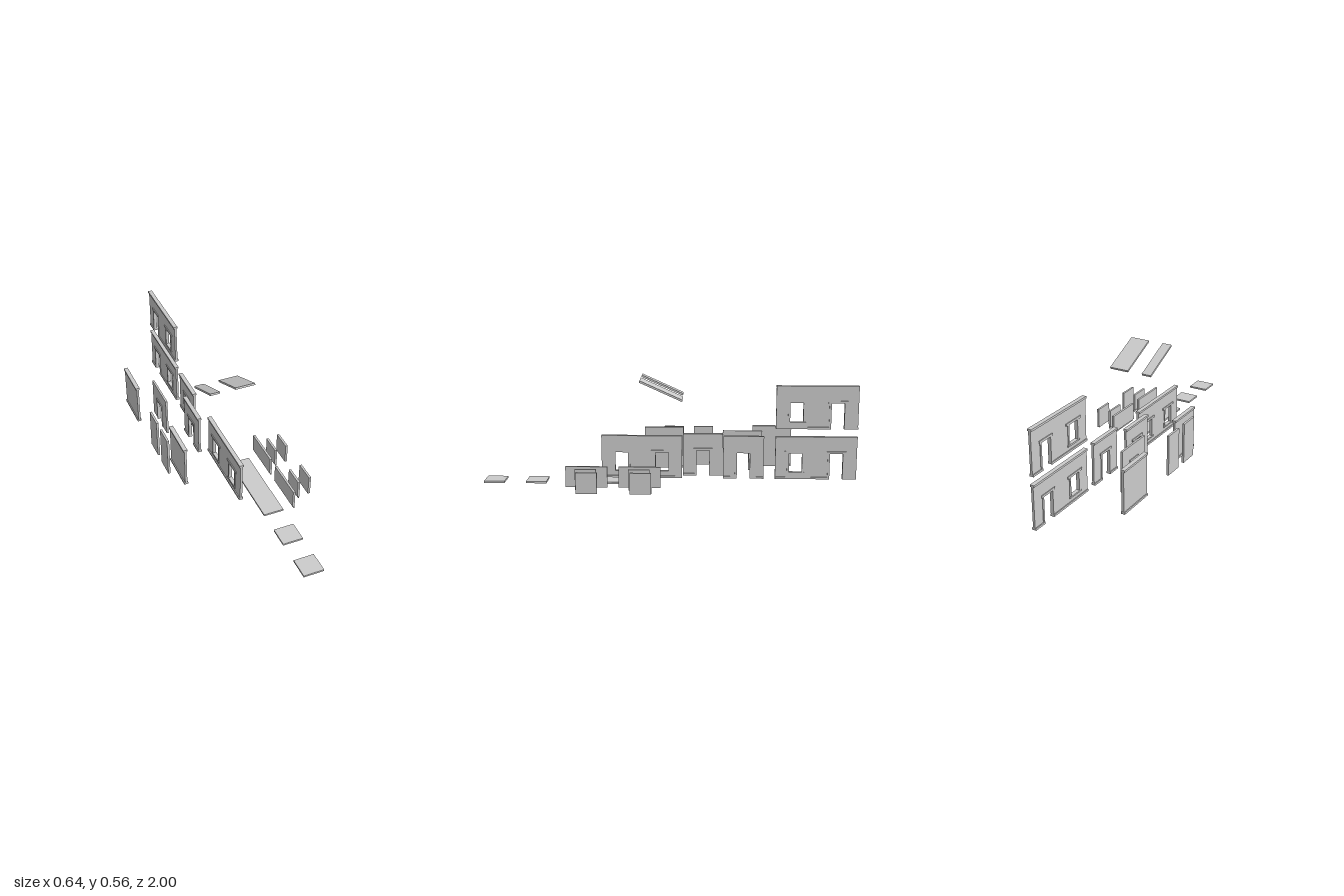
import * as THREE from 'three';

const material = new THREE.MeshStandardMaterial({ color: 0xcccccc, flatShading: true });
const W = 0.22;        // module width along z
const OPEN = 0.035;    // half width of door and window openings
const HEAD = 0.148;    // top of openings

// Box from min/max corners
function box(parent, name, x0, x1, y0, y1, z0, z1) {
  const mesh = new THREE.Mesh(new THREE.BoxGeometry(x1 - x0, y1 - y0, z1 - z0), material);
  mesh.position.set((x0 + x1) / 2, (y0 + y1) / 2, (z0 + z1) / 2);
  mesh.name = name;
  parent.add(mesh);
}

// Outline drawn in (z, y), extruded along x about the centre
function plate(parent, name, shape, thickness) {
  const geo = new THREE.ExtrudeGeometry(shape, { depth: thickness, bevelEnabled: false });
  geo.translate(0, 0, -thickness / 2).rotateY(-Math.PI / 2);
  const mesh = new THREE.Mesh(geo, material);
  mesh.name = name;
  parent.add(mesh);
}

const outline = (pts) => new THREE.Shape(pts.map(([z, y]) => new THREE.Vector2(z, y)));

// Wall module: kind is 'plain', 'door' or 'window'
function wall(root, kind, x, y, z, { half = 0.006, trim = true, jamb = 0.011 } = {}) {
  const g = new THREE.Group();
  g.name = kind + 'Wall';
  g.position.set(x, y, z);
  const h = W / 2, y0 = 0.005, y1 = 0.229;
  const sill = kind === 'window' ? 0.038 : y0;

  // body
  let shape;
  if (kind === 'door') {
    shape = outline([[-h, y0], [-OPEN, y0], [-OPEN, HEAD], [OPEN, HEAD],
      [OPEN, y0], [h, y0], [h, y1], [-h, y1]]);
  } else {
    shape = outline([[-h, y0], [h, y0], [h, y1], [-h, y1]]);
    if (kind === 'window') {
      shape.holes.push(outline([[-OPEN, sill], [-OPEN, HEAD], [OPEN, HEAD], [OPEN, sill]]));
    }
  }
  plate(g, 'wallBody', shape, half * 2);

  // cornice and plinth
  if (trim) {
    box(g, 'cornice', -0.0115, 0.0115, 0.224, 0.235, -h, h);
    if (kind === 'door') {
      for (const [a, b] of [[-h, -OPEN], [OPEN, h]]) box(g, 'plinth', -0.0115, 0.0115, 0, 0.011, a, b);
    } else {
      box(g, 'plinth', -0.0115, 0.0115, 0, 0.011, -h, h);
    }
  }

  // frame around the opening
  if (kind !== 'plain') {
    const o = OPEN + jamb;
    for (const [a, b] of [[-o, -OPEN], [OPEN, o]]) box(g, 'jamb', -0.009, 0.009, sill, HEAD, a, b);
    const l = o + (kind === 'window' ? 0.014 : jamb > 0.01 ? 0.006 : 0);
    box(g, 'lintel', -0.0105, 0.0105, HEAD - 0.006, HEAD + 0.006, -l, l);
    if (kind === 'window') box(g, 'sill', -0.0105, 0.0105, sill - 0.008, sill, -o - 0.003, o + 0.003);
  }
  root.add(g);
}

// Sloping roof panel, high at the front
function roof(root, x0, x1) {
  const g = new THREE.Group();
  g.name = 'roofPanel';
  g.position.x = (x0 + x1) / 2;
  plate(g, 'roofSlab', outline([[-0.057, 0.451], [0.167, 0.552], [0.164, 0.562], [-0.06, 0.461]]), x1 - x0);
  root.add(g);
}

export function createModel() {
  const root = new THREE.Group();
  root.name = 'buildingKit';

  // main row of walls
  const X = -0.033;
  wall(root, 'window', X, 0, 0.275);
  wall(root, 'window', X, 0, 0.055);
  wall(root, 'door', -0.09, 0, -0.168);
  wall(root, 'door', X, 0, -0.388);

  // two-storey pair at the back
  for (const y of [0, 0.278]) {
    wall(root, 'window', X, y, -0.67);
    wall(root, 'door', X, y, -0.89);
  }

  // plain walls and untrimmed inner door wall
  wall(root, 'plain', -0.255, 0, 0.052);
  wall(root, 'plain', -0.311, 0, -0.56);
  wall(root, 'door', -0.2, 0, -0.388, { half: 0.0055, trim: false, jamb: 0.007 });

  // narrow wall slabs
  for (const z of [-0.17, -0.003]) box(root, 'narrowWall', -0.317, -0.305, 0.005, 0.229, z - 0.055, z + 0.055);

  // low parapets; the first two types have a rebated foot
  for (const [x, half, zs] of [[0.19, 0.11, [0.163, 0.442]], [0.246, 0.055, [0.162, 0.44]]]) {
    for (const z of zs) {
      const g = new THREE.Group();
      g.name = 'rebatedParapet';
      box(g, 'parapetBody', x - 0.006, x + 0.006, 0.017, 0.116, z - half, z + half);
      box(g, 'parapetFoot', x + 0.001, x + 0.006, 0.005, 0.017, z - half, z + half);
      root.add(g);
    }
  }
  for (const z of [0.15, 0.428]) box(root, 'parapet', 0.309, 0.321, 0.005, 0.116, z - 0.055, z + 0.055);

  // floor slabs
  for (const [a, b] of [[0.11, 0.33], [0.33, 0.55], [0.665, 0.774], [0.89, 1]]) {
    box(root, 'floorSlab', 0.024, 0.133, 0.006, 0.016, a, b);
  }

  // roof panels
  roof(root, 0.024, 0.133);
  roof(root, -0.115, -0.061);

  return root;
}
